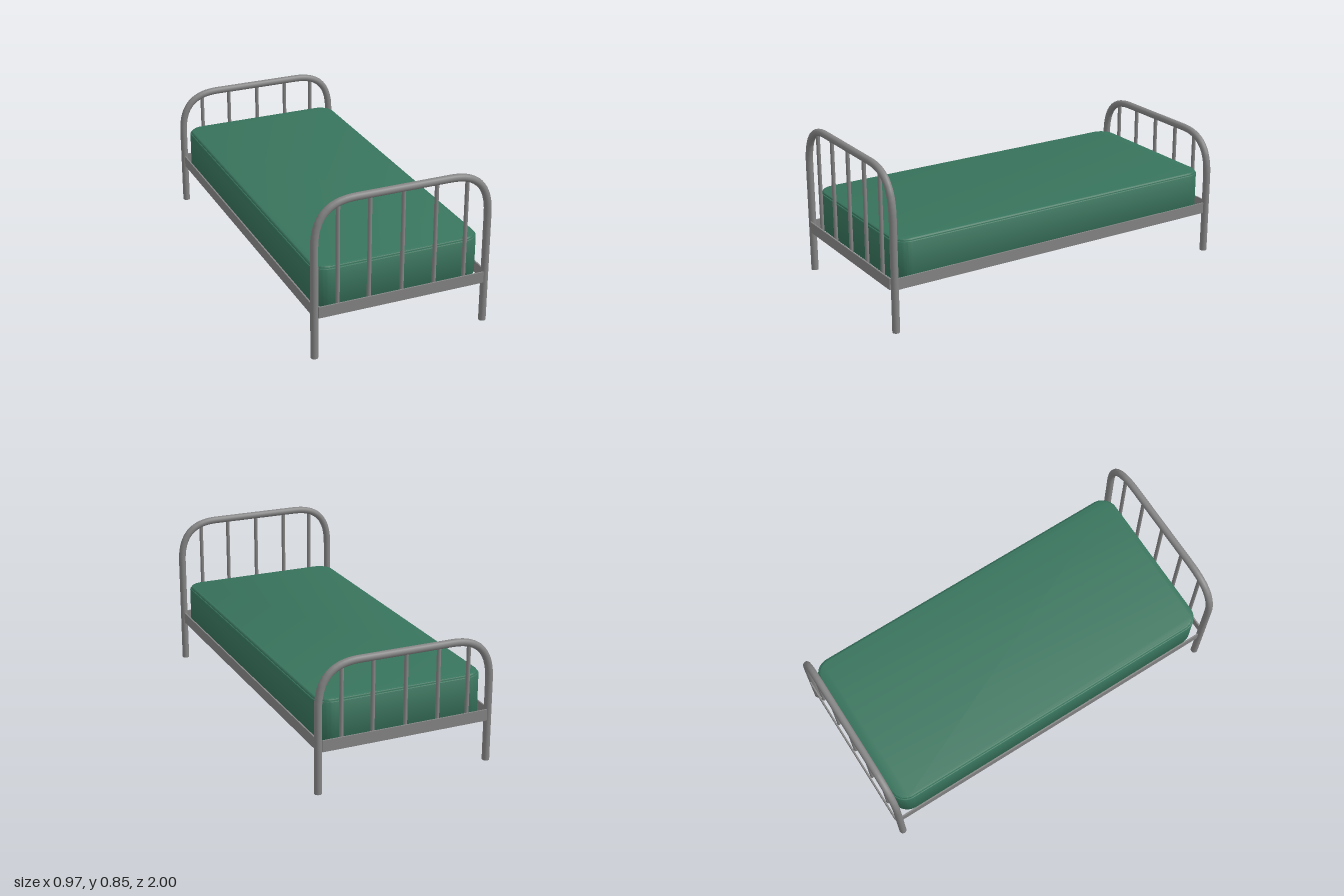
import * as THREE from 'three';
import { toCreasedNormals } from 'three/addons/utils/BufferGeometryUtils.js';

const steel = new THREE.MeshStandardMaterial({ color: 0x858585 });
steel.name = 'grey steel';
const fabric = new THREE.MeshStandardMaterial({ color: 0x38745d });
fabric.name = 'green fabric';

function add(parent, name, geometry, material, x = 0, y = 0, z = 0) {
  const mesh = new THREE.Mesh(geometry, material);
  mesh.name = name;
  mesh.position.set(x, y, z);
  parent.add(mesh);
  return mesh;
}

const LEG_X = 0.465, TUBE_R = 0.0195, END_Z = 0.979;
const RAIL_Y = 0.255, RAIL_H = 0.06, RAIL_T = 0.008;

// Right half of the bent corner, from the leg up to the flat top bar
function cornerCurve(top) {
  const v = (x, y) => new THREE.Vector3(x, y, 0);
  return new THREE.CubicBezierCurve3(
    v(LEG_X, top - 0.226), v(LEG_X, top - 0.076), v(0.40, top), v(0.25, top));
}

// Bent tube with legs, five spindles and a cross rail; side is the z direction it faces
function bedEnd(name, top, side) {
  const end = new THREE.Group();
  end.name = name;
  const corner = cornerCurve(top).getPoints(14);
  const mirrored = corner.map(p => new THREE.Vector3(-p.x, p.y, 0)).reverse();
  const path = new THREE.CurvePath();
  const points = [new THREE.Vector3(LEG_X, 0, 0), ...corner, ...mirrored, new THREE.Vector3(-LEG_X, 0, 0)];
  for (let i = 1; i < points.length; i++) path.add(new THREE.LineCurve3(points[i - 1], points[i]));
  add(end, 'bentFrameTube', new THREE.TubeGeometry(path, 160, TUBE_R, 16), steel);

  // Foot caps
  for (const s of [-1, 1]) {
    const cap = add(end, 'footCap', new THREE.CircleGeometry(TUBE_R, 16), steel, s * LEG_X, 0, 0);
    cap.rotation.x = Math.PI / 2;
  }

  // Spindles reach up to the tube's centre line
  for (const x of [-0.343, -0.177, 0, 0.177, 0.343]) {
    const hit = corner.find(p => p.x <= Math.abs(x));
    const y1 = hit ? hit.y : top;
    const y0 = RAIL_Y - 0.02;
    add(end, 'spindle', new THREE.CylinderGeometry(0.0105, 0.0105, y1 - y0, 12), steel, x, (y0 + y1) / 2, 0);
  }

  // Flat cross rail on the outer face
  add(end, 'crossRail', new THREE.BoxGeometry(0.9, RAIL_H, RAIL_T), steel, 0, RAIL_Y, side * 0.017);
  end.position.z = side * END_Z;
  return end;
}

function roundedRect(hw, hd, r) {
  const s = new THREE.Shape();
  s.absarc(hw - r, hd - r, r, 0, Math.PI / 2);
  s.absarc(-hw + r, hd - r, r, Math.PI / 2, Math.PI);
  s.absarc(-hw + r, -hd + r, r, Math.PI, Math.PI * 1.5);
  s.absarc(hw - r, -hd + r, r, Math.PI * 1.5, Math.PI * 2);
  s.closePath();
  return s;
}

// Horizontal padded slab with softly rounded edges between y0 and y1
function slab(hw, hd, r, y0, y1, bevel) {
  const g = new THREE.ExtrudeGeometry(roundedRect(hw - bevel, hd - bevel, r - bevel), {
    depth: y1 - y0 - 2 * bevel, bevelEnabled: true, bevelThickness: bevel,
    bevelSize: bevel, bevelSegments: 4, curveSegments: 10,
  });
  g.rotateX(-Math.PI / 2);
  g.translate(0, y0 + bevel, 0);
  return toCreasedNormals(g, 0.7);
}

export function createModel() {
  const bed = new THREE.Group();
  bed.name = 'bed';

  bed.add(bedEnd('tallEnd', 0.827, 1));
  bed.add(bedEnd('shortEnd', 0.665, -1));

  // Side rails
  for (const s of [-1, 1]) {
    add(bed, 'sideRail', new THREE.BoxGeometry(RAIL_T, RAIL_H, 1.94), steel, s * 0.466, RAIL_Y, 0);
  }

  // Mattress with a seam below its top edge
  const mattress = new THREE.Group();
  mattress.name = 'mattress';
  add(mattress, 'mattressBody', slab(0.455, 0.958, 0.09, 0.25, 0.458, 0.006), fabric);
  add(mattress, 'mattressTop', slab(0.448, 0.951, 0.084, 0.44, 0.469, 0.01), fabric);
  bed.add(mattress);

  return bed;
}
